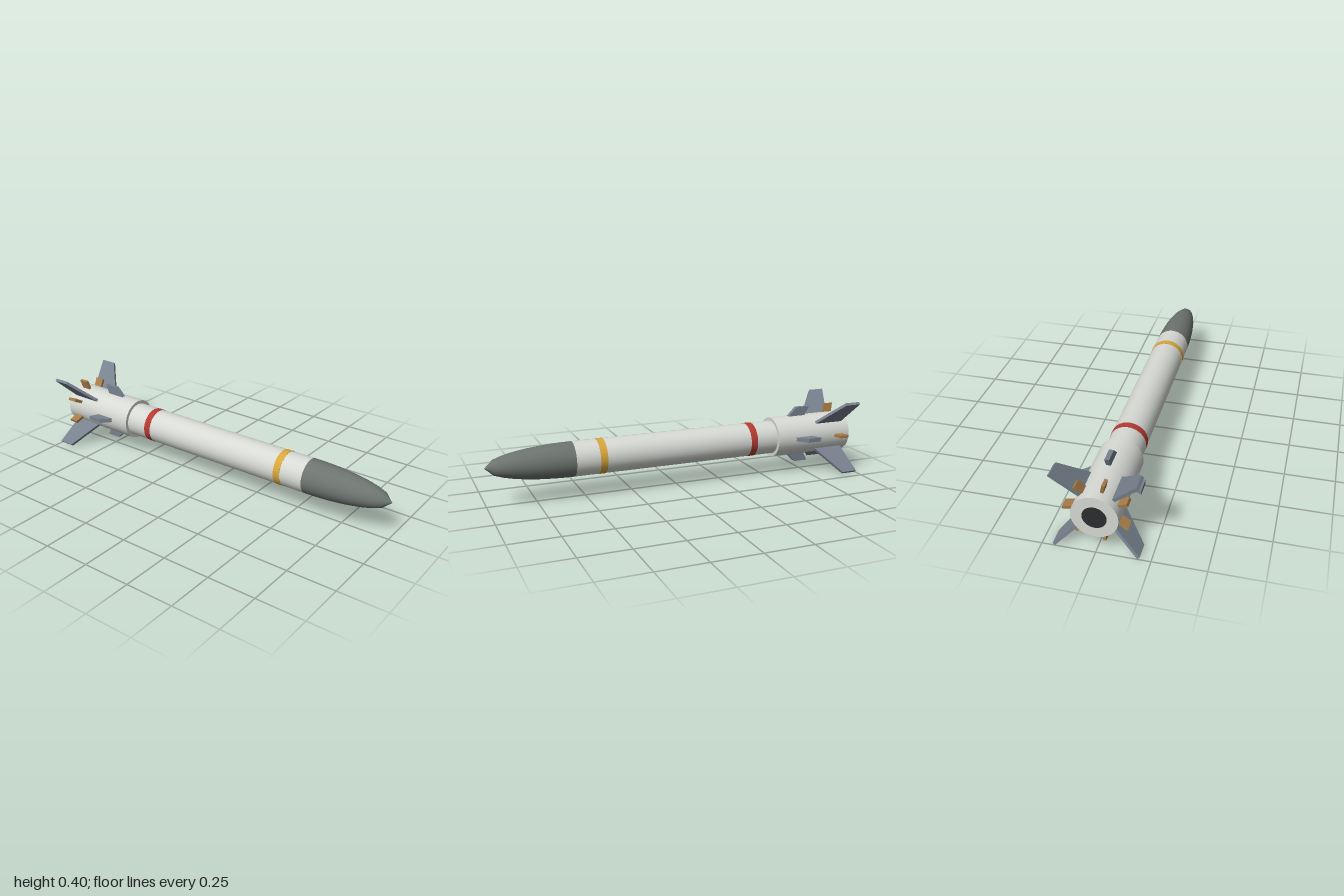
import * as THREE from 'three';

const AXIS_Y = 0.2;   // height of the rocket's centre line

const paint = (color) => new THREE.MeshStandardMaterial({ color });
const white = paint(0xd6d9d4);
const noseGrey = paint(0x6d7470);
const finGrey = paint(0x78828e);
const red = paint(0xb53a32);
const yellow = paint(0xd9a63c);
const brown = paint(0xa67c48);
const black = paint(0x2a2d2f);

export function createModel() {
  const model = new THREE.Group();

  // Cylinder along x between two stations
  function tube(name, x0, x1, radius, material) {
    const geometry = new THREE.CylinderGeometry(radius, radius, x1 - x0, 32);
    geometry.rotateZ(-Math.PI / 2);
    const mesh = new THREE.Mesh(geometry, material);
    mesh.name = name;
    mesh.position.set((x0 + x1) / 2, AXIS_Y, 0);
    model.add(mesh);
  }

  // Ring of flat swept plates; outline points are (x, radius)
  function finRing(name, count, startAngle, outline, thickness, material) {
    const shape = new THREE.Shape(outline.map(([x, r]) => new THREE.Vector2(x, r)));
    const geometry = new THREE.ExtrudeGeometry(shape, { depth: thickness, bevelEnabled: false });
    geometry.translate(0, 0, -thickness / 2);
    const ring = new THREE.Group();
    ring.name = name + 's';
    ring.position.y = AXIS_Y;
    for (let i = 0; i < count; i++) {
      const fin = new THREE.Mesh(geometry, material);
      fin.name = name;
      fin.rotation.x = startAngle + (i * 2 * Math.PI) / count;
      ring.add(fin);
    }
    model.add(ring);
  }

  // Body, booster and painted bands
  tube('body', -0.58, 0.56, 0.09, white);
  tube('booster', -1, -0.56, 0.108, white);
  tube('redBand', -0.44, -0.403, 0.0915, red);
  tube('yellowBand', 0.4, 0.437, 0.0915, yellow);
  tube('nozzle', -1.001, -0.98, 0.056, black);

  // Rounded nose with an elliptical profile
  const profile = [];
  for (let i = 0; i <= 10; i++) {
    const t = i / 10;
    profile.push(new THREE.Vector2(0.09 * Math.sqrt(1 - t * t), 0.44 * t));
  }
  const nose = new THREE.Mesh(new THREE.LatheGeometry(profile, 32), noseGrey);
  nose.name = 'noseCone';
  nose.rotation.z = -Math.PI / 2;
  nose.position.set(0.56, AXIS_Y, 0);
  model.add(nose);

  // Tail fins, forward fins and the seven small tabs between them
  finRing('tailFin', 4, Math.PI / 4,
    [[-0.96, 0.1], [-0.795, 0.1], [-0.915, 0.274], [-1, 0.274]], 0.0155, finGrey);
  finRing('forwardFin', 4, 0,
    [[-0.765, 0.1], [-0.66, 0.1], [-0.715, 0.155], [-0.793, 0.155]], 0.022, finGrey);
  finRing('tab', 7, -Math.PI / 2,
    [[-0.955, 0.1], [-0.905, 0.1], [-0.917, 0.155], [-0.968, 0.155]], 0.015, brown);

  return model;
}
